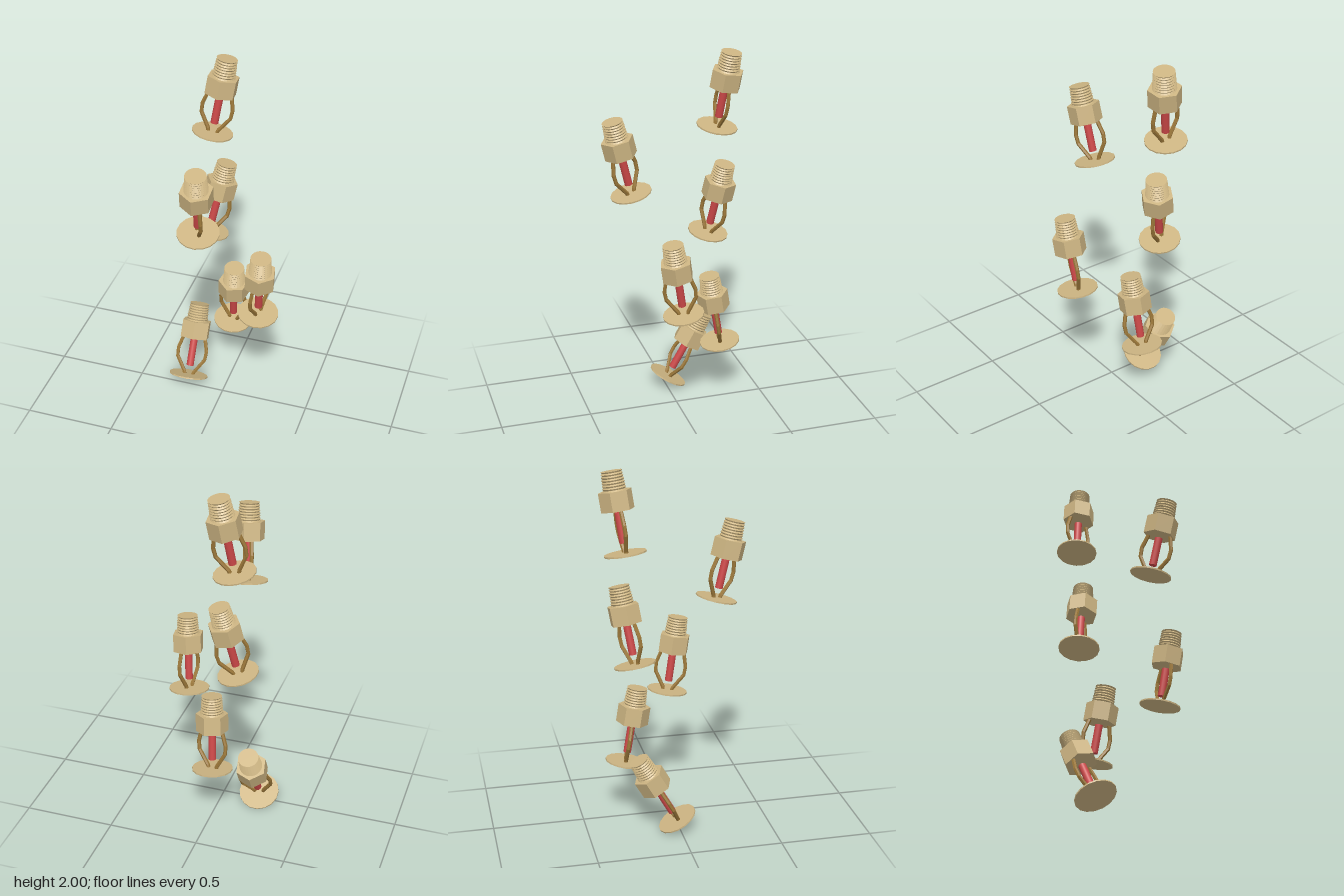
import * as THREE from 'three';

const brass = new THREE.MeshStandardMaterial({ color: 0xcdb583, flatShading: true });
brass.name = 'pale brass';
const bronze = new THREE.MeshStandardMaterial({ color: 0x9c783a, flatShading: true });
bronze.name = 'dark bronze';
const red = new THREE.MeshStandardMaterial({ color: 0xcc4848 });
red.name = 'red glass';

// Polyline curve whose tube rings fall exactly on the bends
class Bends extends THREE.Curve {
  constructor(points) {
    super();
    this.points = points;
  }
  getUtoTmapping(u) {
    return u;
  }
  getPoint(t, target = new THREE.Vector3()) {
    const n = this.points.length - 1;
    const i = Math.min(Math.floor(t * n), n - 1);
    return target.lerpVectors(this.points[i], this.points[i + 1], t * n - i);
  }
}

// Tapered thread: zigzag profile turned round the axis
function threadGeometry(y0, y1, r0, r1, turns) {
  const profile = [];
  for (let i = 0; i <= turns * 2; i++) {
    const t = i / (turns * 2);
    const r = THREE.MathUtils.lerp(r0, r1, t) - (i % 2 ? 0.006 : 0);
    profile.push(new THREE.Vector2(r, THREE.MathUtils.lerp(y0, y1, t)));
  }
  profile.push(new THREE.Vector2(0, y1));
  return new THREE.LatheGeometry(profile, 24);
}

function cylinder(radius, y0, y1, sides) {
  return new THREE.CylinderGeometry(radius, radius, y1 - y0, sides).translate(0, (y0 + y1) / 2, 0);
}

function armGeometry(side) {
  const path = [[0.06, 0.235], [0.083, 0.15], [0.08, 0.1], [0.028, 0.016], [0.024, 0.001]];
  const points = path.map(([x, y]) => new THREE.Vector3(side * x, y, 0));
  return new THREE.TubeGeometry(new Bends(points), path.length - 1, 0.011, 6);
}

const parts = [
  ['deflectorDisc', cylinder(0.112, -0.004, 0.004, 16), brass],
  ['hexNut', cylinder(0.088, 0.225, 0.325, 6), brass],
  ['thread', threadGeometry(0.325, 0.426, 0.063, 0.056, 7), brass],
  ['glassBulb', cylinder(0.021, 0.055, 0.213, 14), red],
  ['leftArm', armGeometry(1), bronze],
  ['rightArm', armGeometry(-1), bronze],
];

// One sprinkler head: disc centre, thread top, heading of the arms in degrees
function sprinkler(base, top, heading) {
  const group = new THREE.Group();
  group.name = 'sprinklerHead';
  for (const [name, geometry, material] of parts) {
    const mesh = new THREE.Mesh(geometry, material);
    mesh.name = name;
    group.add(mesh);
  }
  const up = new THREE.Vector3(0, 1, 0);
  const start = new THREE.Vector3(...base);
  const axis = new THREE.Vector3(...top).sub(start).normalize();
  group.position.copy(start);
  group.quaternion.setFromUnitVectors(up, axis);
  group.rotateY(-THREE.MathUtils.degToRad(heading));
  return group;
}

export function createModel() {
  const model = new THREE.Group();
  model.name = 'sprinklerHeads';
  model.add(
    sprinkler([-0.143, 1.572, -0.271], [-0.079, 1.988, -0.326], -4),
    sprinkler([-0.057, 1.27, 0.234], [-0.031, 1.685, 0.337], -120),
    sprinkler([-0.151, 0.963, -0.228], [-0.069, 1.376, -0.294], -30),
    sprinkler([0.213, 0.653, 0.024], [0.242, 1.073, 0.092], -71),
    sprinkler([-0.017, 0.345, -0.26], [0.01, 0.766, -0.185], 11),
    sprinkler([-0.213, 0.062, -0.013], [-0.21, 0.432, -0.223], -9),
  );
  return model;
}
